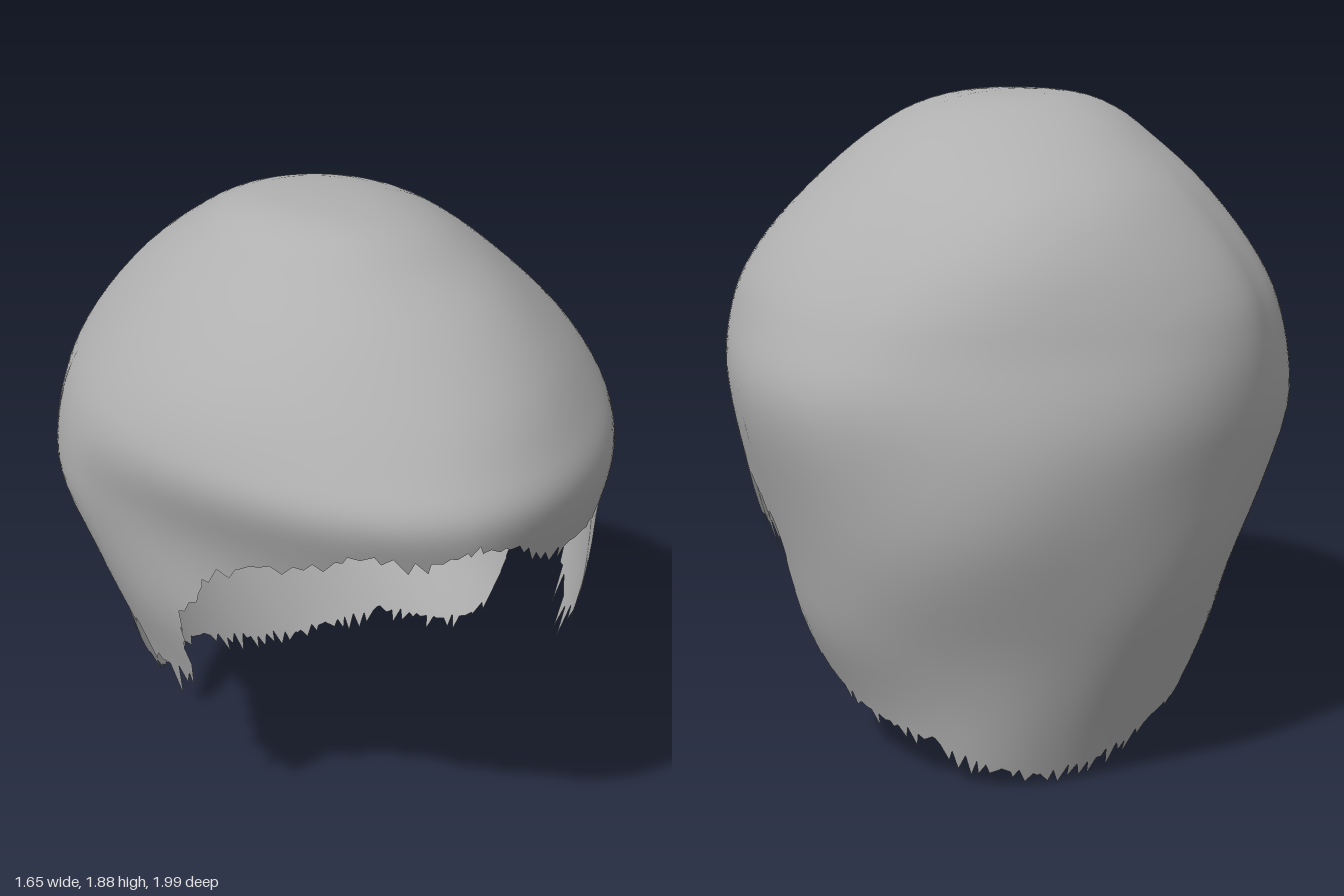
import * as THREE from 'three';
import { mergeVertices } from 'three/addons/utils/BufferGeometryUtils.js';

// Small seeded random for the ragged strands
function seeded(seed) {
  return () => {
    seed = (seed * 16807) % 2147483647;
    return seed / 2147483647;
  };
}

// Horizontal sections, crown to nape: [y, half width, centre x, front z, back z, centre z]
const sections = [
  [1.89, 0, -0.09, 0.02, 0.02, 0.02],
  [1.878, 0.17, -0.08, 0.23, -0.2, 0.01],
  [1.835, 0.3, -0.06, 0.38, -0.36, 0],
  [1.76, 0.41, -0.04, 0.5, -0.54, -0.02],
  [1.65, 0.535, -0.03, 0.67, -0.73, -0.05],
  [1.51, 0.665, -0.02, 0.82, -0.85, -0.08],
  [1.38, 0.755, -0.015, 0.92, -0.915, -0.1],
  [1.27, 0.8, -0.01, 0.985, -0.95, -0.1],
  [1.14, 0.825, 0, 0.97, -0.985, -0.1],
  [1.0, 0.815, 0, 0.93, -0.995, -0.1],
  [0.8, 0.755, 0.01, 0.86, -0.97, -0.1],
  [0.6, 0.69, 0.02, 0.82, -0.92, -0.1],
  [0.4, 0.635, 0.02, 0.78, -0.855, -0.1],
  [0.2, 0.55, 0.02, 0.74, -0.795, -0.1],
  [0, 0.47, 0.04, 0.68, -0.735, -0.1],
];

// Lower edge as [degrees from the front, y]: uneven fringe, then shared sideburn, ear and nape
const fringeLeft = [[0, 1.21], [10, 1.18], [24, 1.1], [36, 1.09], [46, 1.1], [49.5, 1.06], [52, 1.0], [55, 0.9]];
const fringeRight = [[0, 1.21], [13, 1.17], [22, 1.19], [30, 1.13], [40, 1.07], [49, 1.0], [53, 0.9]];
const sideAndNape = [
  [58, 0.82], [61, 0.64], [66, 0.59], [73, 0.6], [80, 0.69], [85, 0.77], [91, 0.805], [97, 0.76],
  [100, 0.66], [102, 0.44], [108, 0.26], [123, 0.19], [140, 0.16], [160, 0.09], [180, 0.055],
];

const curve = (rows) =>
  new THREE.CatmullRomCurve3(rows.map((r) => new THREE.Vector3(...r)), false, 'catmullrom', 0.5);
const outline = curve(sections.map((s) => s.slice(0, 3)));
const depth = curve(sections.map((s) => s.slice(3)));
const bell = (value, centre, width) => Math.exp(-(((value - centre) / width) ** 2));

// Position along the section curves (0 to 1) where the height is y
function levelAt(y) {
  let lo = 0, hi = 1;
  for (let i = 0; i < 24; i++) {
    const mid = (lo + hi) / 2;
    if (outline.getPoint(mid).x > y) lo = mid; else hi = mid;
  }
  return lo;
}

// Point of the shell at a level and an angle: hollow temples, squarer back, fringe swept to the left
function shellPoint(level, angle) {
  const [y, w, cx] = outline.getPoint(level).toArray();
  const [front, back, cz] = depth.getPoint(level).toArray();
  const s = Math.sin(angle), c = Math.cos(angle);
  const corner = c > 0 ? 0.03 + 0.18 * bell(y, 1.03, 0.18) : -0.05 - 0.07 * bell(y, 0.65, 0.3);
  const power = 1 + corner * Math.min(1, Math.abs(c) * 4);
  const lump = 1 + 0.007 * Math.sin(3 * angle + 7 * y) + 0.006 * Math.sin(5 * angle - 9 * y + 1);
  // Soft swept groove behind each temple
  const groove = 1 - 0.02 * bell(Math.abs(angle), 2.25, 0.14) * bell(y, 1.4, 0.28);
  const k = lump * groove;
  const sweep = 0.08 * w * Math.max(0, c) ** 2;
  const x = cx + sweep + k * w * Math.sign(s) * Math.abs(s) ** power;
  const reach = c > 0 ? front - cz : cz - back;
  return [x, y, cz + k * reach * Math.sign(c) * Math.abs(c) ** power];
}

// Strand length along the edge, longest at the sideburns
function strandLength(degrees) {
  if (degrees > 60 && degrees < 79) return 0.18;
  if (degrees < 56) return 0.05;
  return 0.075;
}

// Evenly spaced [angle, y] points along one side of the lower edge
function hemSide(fringe, sign, divisions) {
  const hem = new THREE.CatmullRomCurve3(
    [...fringe, ...sideAndNape].map(([d, y]) => new THREE.Vector3(THREE.MathUtils.degToRad(d), y, 0)));
  hem.arcLengthDivisions = 800;
  return hem.getSpacedPoints(divisions).map((p) => [sign * p.x, p.y]);
}

function hairGeometry() {
  const random = seeded(4217);
  const half = 125, rows = 40;
  const columns = [
    ...hemSide(fringeLeft, 1, half),
    ...hemSide(fringeRight, -1, half).slice(1, -1).reverse(),
  ];
  const positions = [], index = [];
  const count = columns.length;

  columns.forEach(([angle, y], j) => {
    const end = levelAt(y);
    for (let k = 0; k < rows; k++) positions.push(...shellPoint((end * k) / (rows - 1), angle));
    // Ragged tip of the strand
    const degrees = Math.abs(THREE.MathUtils.radToDeg(angle));
    const drop = strandLength(degrees) * (j % 2 ? random() : 0.25 * random());
    const tip = levelAt(Math.max(0.005, y - drop - 0.004));
    positions.push(...shellPoint(tip, angle + (random() - 0.5) * 0.03));
  });

  const stride = rows + 1;
  for (let j = 0; j < count; j++) {
    const next = (j + 1) % count;
    for (let k = 0; k < rows; k++) {
      const a = j * stride + k, d = next * stride + k;
      if (k > 0) index.push(a, a + 1, d);
      index.push(a + 1, d + 1, d);
    }
  }
  let geometry = new THREE.BufferGeometry();
  geometry.setAttribute('position', new THREE.Float32BufferAttribute(positions, 3));
  geometry.setIndex(index);
  geometry = mergeVertices(geometry, 1e-5);
  geometry.computeVertexNormals();
  return geometry;
}

export function createModel() {
  const model = new THREE.Group();
  model.name = 'hairpiece';
  const hairGrey = new THREE.MeshStandardMaterial({ color: 0xb0b0b0, side: THREE.DoubleSide });
  hairGrey.name = 'hair grey';

  // Single open shell: crown, fringe, sideburns and nape
  const hair = new THREE.Mesh(hairGeometry(), hairGrey);
  hair.name = 'hairShell';
  model.add(hair);
  return model;
}
